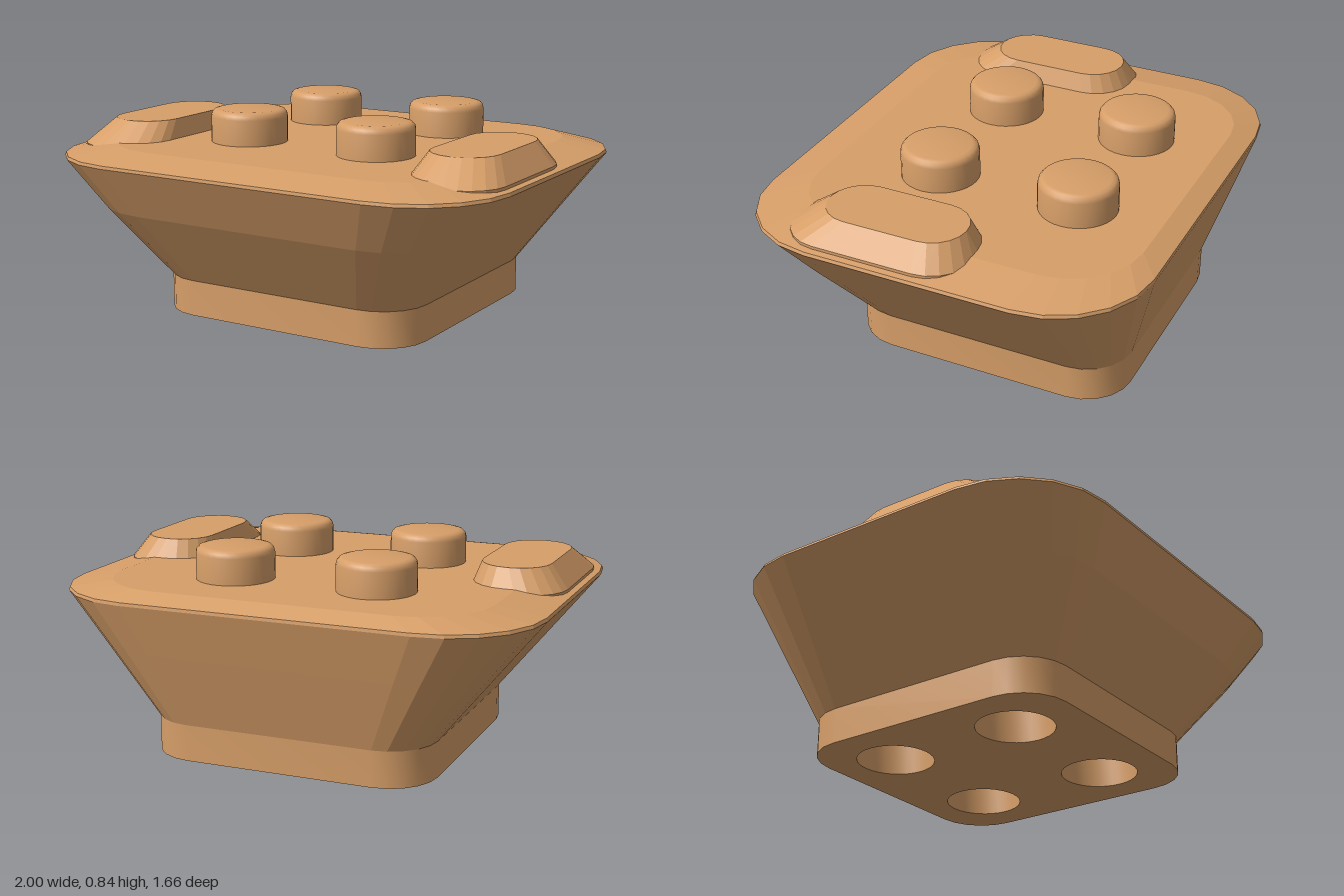
import * as THREE from 'three';
import { toCreasedNormals } from 'three/addons/utils/BufferGeometryUtils.js';

const CORNER_STEPS = 5;

// Outline of a rounded rectangle as [x, z] pairs
function outline({ x0, x1, z0, z1, r }) {
  const corners = [[x1 - r, z1 - r], [x0 + r, z1 - r], [x0 + r, z0 + r], [x1 - r, z0 + r]];
  const points = [];
  corners.forEach(([cx, cz], quarter) => {
    for (let i = 0; i <= CORNER_STEPS; i++) {
      const a = (quarter + i / CORNER_STEPS) * Math.PI / 2;
      points.push([cx + r * Math.cos(a), cz + r * Math.sin(a)]);
    }
  });
  return points;
}

// Closed solid through a stack of rounded rectangles, lowest first
function loft(sections) {
  const rings = sections.map(s => outline(s).map(([x, z]) => [x, s.y, z]));
  const middle = s => [(s.x0 + s.x1) / 2, s.y, (s.z0 + s.z1) / 2];
  const bottom = rings[0], top = rings[rings.length - 1];
  const bottomMid = middle(sections[0]), topMid = middle(sections[sections.length - 1]);
  const n = bottom.length;
  const positions = [];
  const tri = (...corners) => corners.forEach(c => positions.push(...c));
  for (let i = 0; i < n; i++) {
    const j = (i + 1) % n;
    for (let k = 0; k + 1 < rings.length; k++) {
      const a = rings[k], b = rings[k + 1];
      tri(a[i], b[i], a[j]);
      tri(a[j], b[i], b[j]);
    }
    tri(bottomMid, bottom[i], bottom[j]);
    tri(topMid, top[j], top[i]);
  }
  const geometry = new THREE.BufferGeometry();
  geometry.setAttribute('position', new THREE.Float32BufferAttribute(positions, 3));
  geometry.computeVertexNormals();
  return geometry;
}

export function createModel() {
  const model = new THREE.Group();
  model.name = 'studdedBlock';
  const tan = new THREE.MeshStandardMaterial({ color: 0xd69e68 });
  tan.name = 'tan';

  const add = (name, geometry) => {
    const mesh = new THREE.Mesh(geometry, tan);
    mesh.name = name;
    model.add(mesh);
    return mesh;
  };

  // Stud and socket centres, shared by top and underside
  const spots = [];
  for (const x of [-0.305, 0.305]) for (const z of [-0.395, 0.21]) spots.push([x, z]);

  // Base with four round sockets
  const foot = { x0: -0.595, x1: 0.595, z0: -0.68, z1: 0.51, r: 0.2 };
  const shape = new THREE.Shape(outline(foot).map(([x, z]) => new THREE.Vector2(x, z)));
  for (const [x, z] of spots) {
    shape.holes.push(new THREE.Path().absarc(x, z, 0.16, 0, Math.PI * 2, true));
  }
  const base = new THREE.ExtrudeGeometry(shape, { depth: 0.15, bevelEnabled: false, curveSegments: 16 });
  base.rotateX(Math.PI / 2).translate(0, 0.15, 0);
  add('base', toCreasedNormals(base, 0.5));

  // Flared body with a folded front, thin rim and sloped top edge
  add('body', loft([
    { ...foot, y: 0.15 },
    { x0: -0.835, x1: 0.835, z0: -0.77, z1: 0.72, r: 0.32, y: 0.45 },
    { x0: -1, x1: 1, z0: -0.83, z1: 0.83, r: 0.4, y: 0.655 },
    { x0: -0.995, x1: 0.995, z0: -0.828, z1: 0.828, r: 0.4, y: 0.668 },
    { x0: -0.8, x1: 0.8, z0: -0.745, z1: 0.66, r: 0.3, y: 0.703 },
  ]));

  // Studs with rounded top edges
  const profile = [[0.16, 0.69], [0.16, 0.81], [0.156, 0.825], [0.146, 0.836], [0.13, 0.84], [0, 0.84]]
    .map(([r, y]) => new THREE.Vector2(r, y));
  for (const [x, z] of spots) {
    const stud = add('stud', toCreasedNormals(new THREE.LatheGeometry(profile, 32), 0.6));
    stud.position.set(x, 0, z);
  }

  // Bevelled side pads
  for (const [name, side] of [['leftPad', 1], ['rightPad', -1]]) {
    const section = (a, b, z0, z1, r, y) =>
      ({ x0: Math.min(a * side, b * side), x1: Math.max(a * side, b * side), z0, z1, r, y });
    add(name, loft([
      section(0.58, 0.97, -0.19, 0.58, 0.17, 0.665),
      section(0.58, 0.97, -0.19, 0.58, 0.17, 0.685),
      section(0.615, 0.897, -0.14, 0.445, 0.138, 0.78),
    ]));
  }

  return model;
}
